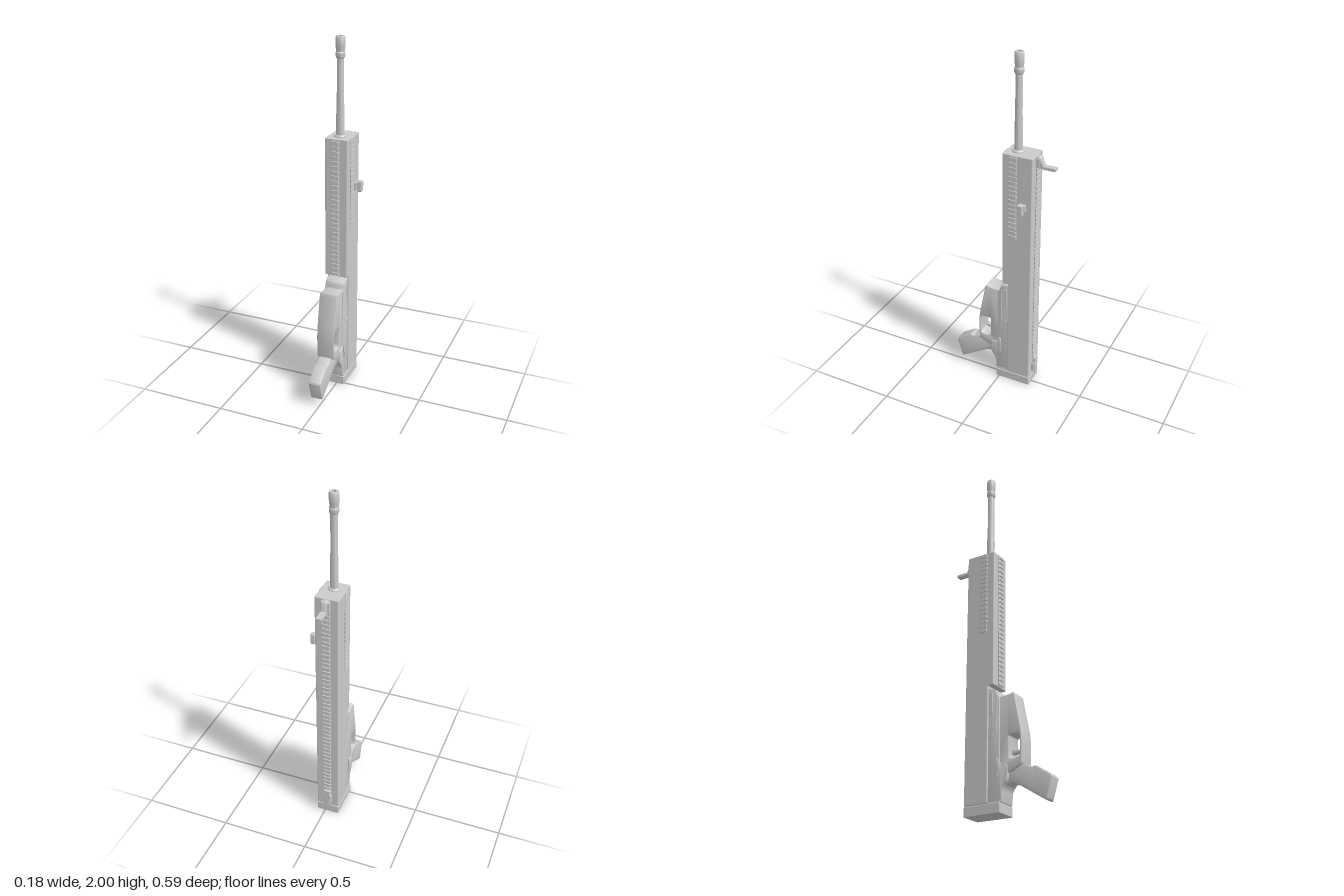
import * as THREE from 'three';
import { toCreasedNormals } from 'three/addons/utils/BufferGeometryUtils.js';
import { RoundedBoxGeometry } from 'three/addons/geometries/RoundedBoxGeometry.js';

const material = new THREE.MeshStandardMaterial({ color: 0xcccccc });

function add(parent, name, geometry) {
  const mesh = new THREE.Mesh(geometry, material);
  mesh.name = name;
  parent.add(mesh);
  return mesh;
}

// Box given by its limits on each axis
function box(parent, name, [x0, x1], [y0, y1], [z0, z1], r = 0.003) {
  const g = r ? new RoundedBoxGeometry(x1 - x0, y1 - y0, z1 - z0, 2, r)
    : new THREE.BoxGeometry(x1 - x0, y1 - y0, z1 - z0);
  g.translate((x0 + x1) / 2, (y0 + y1) / 2, (z0 + z1) / 2);
  return add(parent, name, g);
}

// Closed outline with rounded corners; points are [z, y, radius]
function outline(points, target = new THREE.Shape()) {
  const n = points.length;
  points.forEach(([x, y, r = 0.002], i) => {
    const corner = new THREE.Vector2(x, y);
    const toward = (q) => {
      const d = new THREE.Vector2(q[0], q[1]).sub(corner);
      return d.setLength(Math.min(r, d.length() * 0.48)).add(corner);
    };
    const a = toward(points[(i + n - 1) % n]);
    const b = toward(points[(i + 1) % n]);
    if (i === 0) target.moveTo(a.x, a.y);
    else target.lineTo(a.x, a.y);
    target.quadraticCurveTo(x, y, b.x, b.y);
  });
  target.closePath();
  return target;
}

// Side profile (z, y) extruded across the width, centred on x = 0
function slab(parent, name, shape, width, bevel = 0.003) {
  const depth = width - 2 * bevel;
  const g = new THREE.ExtrudeGeometry(shape, {
    depth, curveSegments: 6, bevelEnabled: bevel > 0, bevelSize: bevel,
    bevelThickness: bevel, bevelOffset: -bevel, bevelSegments: 2,
  });
  g.translate(0, 0, -depth / 2);
  g.rotateY(-Math.PI / 2);
  return add(parent, name, toCreasedNormals(g, 0.6));
}

function lathe(parent, name, points, z) {
  const g = new THREE.LatheGeometry(points.map((p) => new THREE.Vector2(...p)), 32);
  g.translate(0, 0, z);
  return add(parent, name, toCreasedNormals(g, 0.5));
}

// Accessory rail along y, raised toward +z, with evenly spaced cross teeth
function rail(name, width, height, y0, y1) {
  const group = new THREE.Group();
  group.name = name;
  const w = width / 2;
  box(group, 'railBase', [-w * 0.75, w * 0.75], [y0, y1], [-0.004, height * 0.45], 0);
  const section = new THREE.Shape();
  [[-0.72, -0.1], [0.72, -0.1], [1, 0.35], [1, 0.65], [0.8, 1], [-0.8, 1], [-1, 0.65], [-1, 0.35]]
    .forEach(([x, z], i) => section[i ? 'lineTo' : 'moveTo'](x * w, -z * height));
  const pitch = 0.0264;
  const tooth = new THREE.ExtrudeGeometry(section, { depth: pitch * 0.55, bevelEnabled: false });
  tooth.rotateX(-Math.PI / 2);
  const count = Math.floor((y1 - y0) / pitch);
  for (let i = 0; i < count; i++) {
    add(group, 'railTooth', tooth).position.y = y0 + (i + 0.2) * (y1 - y0) / count;
  }
  return group;
}

export function createModel() {
  const model = new THREE.Group();
  model.name = 'rifle';
  const body = new THREE.Group();
  body.name = 'body';
  body.position.x = -0.0185;
  model.add(body);
  const W = 0.0645;

  // Receiver, handguard and butt
  box(body, 'upperReceiver', [-W, W], [0.055, 1.472], [-0.192, -0.055], 0.005);
  box(body, 'handguard', [-W, W], [0.675, 1.472], [-0.1, -0.021], 0.005);
  box(body, 'buttSpacer', [-W + 0.005, W - 0.005], [0.045, 0.062], [-0.186, 0.012], 0);
  box(body, 'buttPlate', [-W, W], [0, 0.053], [-0.192, 0.018], 0.004);

  // Accessory rails: front, back and one on each side
  const frontRail = rail('frontRail', 0.046, 0.012, 0.68, 1.467);
  frontRail.position.z = -0.021;
  const backRail = rail('backRail', 0.046, 0.011, 0.07, 1.467);
  backRail.rotation.y = Math.PI;
  backRail.position.z = -0.192;
  body.add(frontRail, backRail);
  for (const s of [-1, 1]) {
    const sideRail = rail('sideRail', 0.048, 0.009, 0.98, 1.467);
    sideRail.rotation.y = s * Math.PI / 2;
    sideRail.position.set(s * W, 0, -0.084);
    body.add(sideRail);
  }

  // Lower receiver
  slab(body, 'lowerReceiver', outline([
    [-0.07, 0.055], [0.02, 0.055], [0.026, 0.13, 0.03], [0.055, 0.16, 0.02], [0.055, 0.24, 0.01],
    [0.012, 0.25, 0.01], [0.01, 0.6, 0.01], [-0.004, 0.62, 0.01], [-0.012, 0.648, 0.01],
    [-0.055, 0.66, 0.02], [-0.07, 0.66],
  ]), 0.114);

  // Magazine housing running down into the trigger guard
  const housing = outline([
    [-0.03, 0.2], [0.07, 0.2, 0.01], [0.135, 0.232, 0.015], [0.136, 0.39, 0.05],
    [0.093, 0.605, 0.006], [0.088, 0.618, 0.004], [0.07, 0.61, 0.01], [0.005, 0.603, 0.01],
    [-0.006, 0.645, 0.02], [-0.03, 0.65],
  ]);
  housing.holes.push(outline([
    [0.06, 0.266, 0.025], [0.06, 0.396, 0.012], [0.126, 0.396, 0.025], [0.126, 0.27, 0.025],
  ], new THREE.Path()));
  slab(body, 'magazineHousing', housing, 0.101, 0.004);

  // Trigger
  slab(body, 'trigger', outline([
    [0.05, 0.325], [0.075, 0.318, 0.012], [0.112, 0.318, 0.01], [0.112, 0.309, 0.004],
    [0.08, 0.298, 0.02], [0.05, 0.3],
  ]), 0.026, 0.002);

  // Pistol grip
  slab(body, 'pistolGrip', outline([
    [0.02, 0.135, 0.02], [0.075, 0.155, 0.03], [0.255, 0.041, 0.006], [0.264, 0.043, 0.008],
    [0.296, 0.15, 0.01], [0.288, 0.164, 0.008], [0.2, 0.222, 0.03], [0.185, 0.213, 0.008],
    [0.17, 0.222, 0.01], [0.135, 0.236, 0.015], [0.02, 0.24, 0.01],
  ]), 0.073, 0.009);

  // Controls mirrored on both sides
  for (const s of [-1, 1]) {
    const side = (a, b) => [Math.min(s * a, s * b), Math.max(s * a, s * b)];
    const selector = slab(body, 'selectorLever', outline([
      [-0.006, 0.175], [0.002, 0.175], [0.006, 0.215, 0.01], [0.013, 0.225, 0.004],
      [0.004, 0.28, 0.004], [-0.008, 0.28, 0.004], [-0.013, 0.235, 0.004], [-0.006, 0.215, 0.01],
    ]), 0.012, 0.002);
    selector.position.x = s * 0.058;
    box(body, 'boltCatch', side(0.05, 0.061), [0.515, 0.63], [-0.046, -0.03], 0.002);
    box(body, 'magazineRelease', side(0.05, 0.06), [0.39, 0.412], [-0.056, -0.028], 0.002);
    box(body, 'lowerSeam', side(0.05, 0.059), [0.412, 0.62], [-0.012, -0.006], 0.001);
  }

  // Charging handle on the left
  box(body, 'chargingHandleNeck', [W - 0.01, 0.078], [1.163, 1.205], [-0.159, -0.124], 0.003);
  box(body, 'chargingHandleStem', [0.075, 0.085], [1.17, 1.198], [-0.152, -0.131], 0.002);
  box(body, 'chargingHandleKnob', [0.081, 0.107], [1.153, 1.214], [-0.157, -0.126], 0.006);

  // Barrel, collar and muzzle device
  lathe(body, 'barrelCollar', [[0, 1.465], [0.033, 1.465], [0.033, 1.476], [0.028, 1.482], [0, 1.482]], -0.083);
  lathe(body, 'barrel', [[0.022, 1.47], [0.022, 1.58], [0.019, 1.68], [0.0185, 1.9]], -0.083);
  lathe(body, 'muzzleDevice', [
    [0.018, 1.885], [0.022, 1.888], [0.025, 1.895], [0.025, 1.915], [0.022, 1.92], [0.022, 1.932],
    [0.025, 1.942], [0.025, 1.994], [0.022, 2], [0.012, 2], [0.012, 1.95], [0, 1.95],
  ], -0.083);

  // Folding front sight
  slab(body, 'frontSightBase', outline([
    [-0.185, 1.405], [-0.185, 1.468], [-0.212, 1.468, 0.01], [-0.232, 1.42, 0.01], [-0.232, 1.405],
  ]), 0.032, 0.002);
  for (const s of [-1, 1]) {
    box(body, 'frontSightClamp', [s * 0.02 - 0.004, s * 0.02 + 0.004], [1.41, 1.462], [-0.214, -0.188], 0.002);
  }
  box(body, 'frontSightLeaf', [-0.016, 0.016], [1.402, 1.42], [-0.298, -0.222], 0.003);

  // Folded rear sight
  box(body, 'rearSight', [-0.018, 0.018], [0.07, 0.178], [-0.212, -0.188], 0.004);
  for (const s of [-1, 1]) {
    box(body, 'rearSightClamp', [s * 0.021 - 0.005, s * 0.021 + 0.005], [0.085, 0.14], [-0.208, -0.188], 0.003);
  }
  return model;
}
